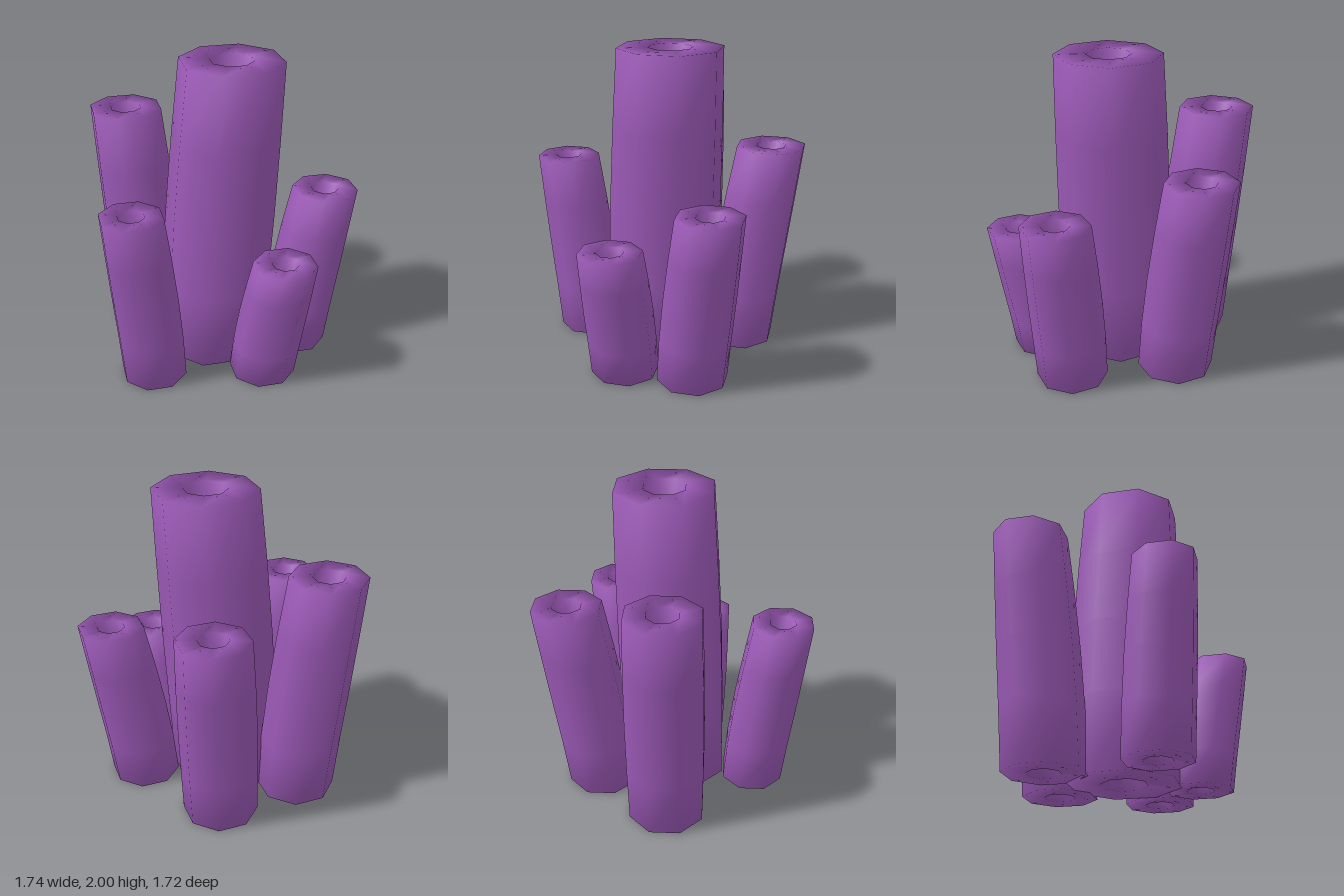
import * as THREE from 'three';

const SIDES = 8, STEPS = 4, BORE = 0.42;

// Leaning hollow tube: one closed wall loop (outside up, bore down) swept round 8 sides
function tubeGeometry(height, [bx, bz, br], [tx, tz, tr]) {
  const loop = [];
  for (let i = 0; i <= STEPS; i++) loop.push([i / STEPS, 1]);
  for (let i = STEPS; i >= 0; i--) loop.push([i / STEPS, BORE]);

  const positions = [], index = [];
  loop.forEach(([t, scale], k) => {
    const lean = Math.pow(t, 1.2); // leans a little more towards the top
    const swell = 1 + 0.05 * Math.sin(Math.PI * t);
    const r = THREE.MathUtils.lerp(br, tr, t) * swell * scale;
    const cx = THREE.MathUtils.lerp(bx, tx, lean);
    const cz = THREE.MathUtils.lerp(bz, tz, lean);
    const next = (k + 1) % loop.length;
    for (let j = 0; j < SIDES; j++) {
      const a = (j / SIDES) * Math.PI * 2, j2 = (j + 1) % SIDES;
      positions.push(cx + r * Math.cos(a), t * height, cz + r * Math.sin(a));
      const p = k * SIDES + j, q = k * SIDES + j2;
      const u = next * SIDES + j, v = next * SIDES + j2;
      index.push(p, u, q, q, u, v);
    }
  });
  const geometry = new THREE.BufferGeometry();
  geometry.setAttribute('position', new THREE.Float32BufferAttribute(positions, 3));
  geometry.setIndex(index);
  geometry.computeVertexNormals();
  return geometry;
}

export function createModel() {
  const group = new THREE.Group();
  group.name = 'tubeSponge';
  const material = new THREE.MeshStandardMaterial({ color: 0x9b59b6 });

  // name, height, [x, z, radius] at the base, [x, z, radius] at the mouth
  const tubes = [
    ['centreTube', 2.0, [0.02, -0.03, 0.355], [0.08, -0.13, 0.328]],
    ['rightTube', 1.555, [-0.48, 0.145, 0.255], [-0.63, 0.205, 0.24]],
    ['backRightTube', 1.34, [-0.335, -0.405, 0.24], [-0.445, -0.55, 0.225]],
    ['frontTube', 1.21, [0.12, 0.508, 0.213], [0.15, 0.655, 0.2]],
    ['backLeftTube', 1.13, [0.335, -0.49, 0.225], [0.41, -0.65, 0.21]],
    ['leftTube', 0.867, [0.507, -0.09, 0.213], [0.667, -0.115, 0.198]],
  ];
  for (const [name, height, base, mouth] of tubes) {
    const mesh = new THREE.Mesh(tubeGeometry(height, base, mouth), material);
    mesh.name = name;
    group.add(mesh);
  }
  return group;
}
